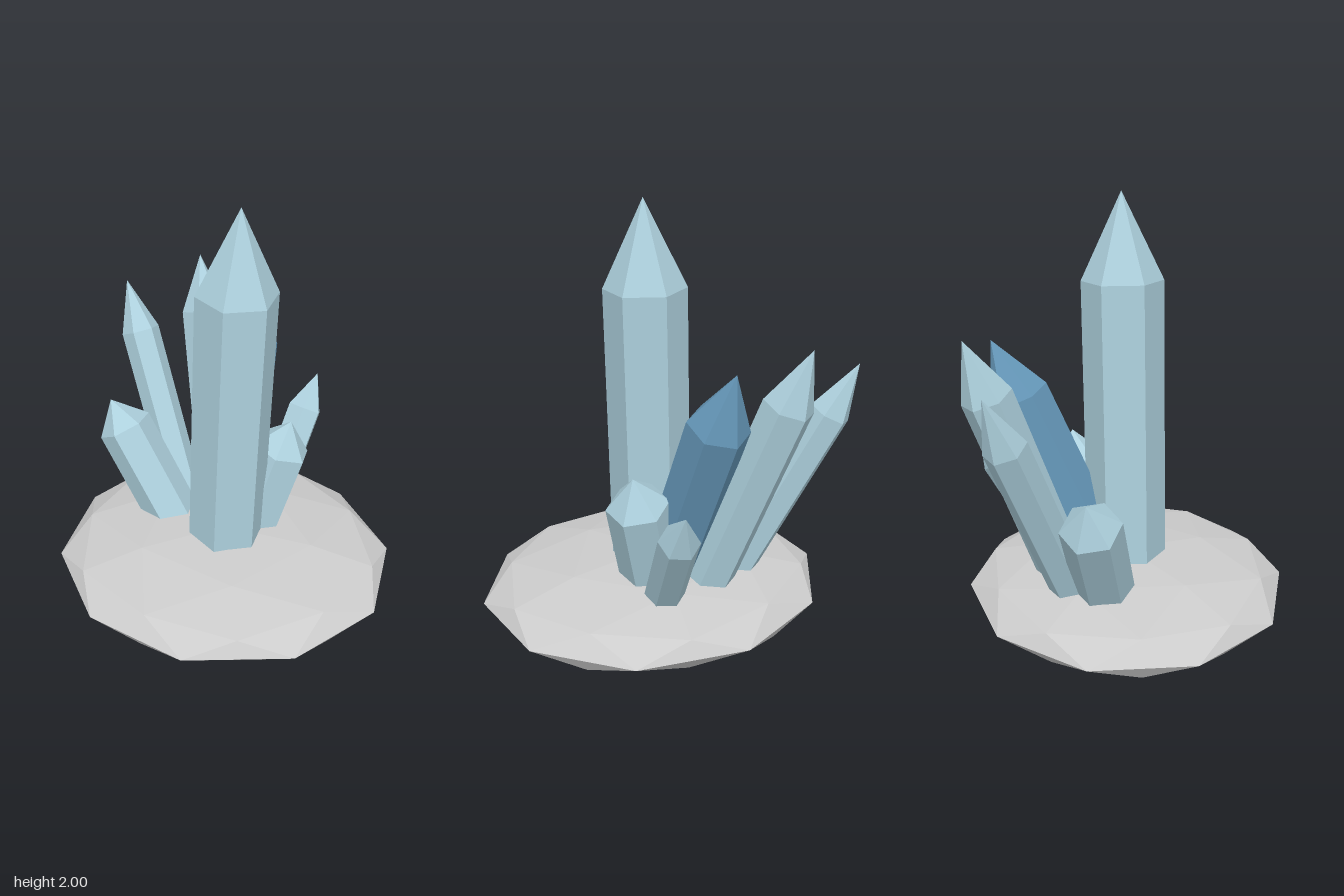
import * as THREE from 'three';

const stone = new THREE.MeshStandardMaterial({ color: 0xcccccc, flatShading: true });
const paleBlue = new THREE.MeshStandardMaterial({ color: 0xadd0dd, flatShading: true });
const deepBlue = new THREE.MeshStandardMaterial({ color: 0x6699bb, flatShading: true });

// Six-sided prism with a pointed end, running from base to tip
function crystal(name, base, tip, radius, point, material = paleBlue, spin = 0) {
  const from = new THREE.Vector3(...base);
  const axis = new THREE.Vector3(...tip).sub(from);
  const length = axis.length();
  const profile = [[0, 0], [radius, 0], [radius, length - point], [0, length]]
    .map(([x, y]) => new THREE.Vector2(x, y));
  const geometry = new THREE.LatheGeometry(profile, 6).rotateY(spin);
  const mesh = new THREE.Mesh(geometry, material);
  mesh.name = name;
  mesh.position.copy(from);
  mesh.quaternion.setFromUnitVectors(new THREE.Vector3(0, 1, 0), axis.normalize());
  return mesh;
}

export function createModel() {
  const group = new THREE.Group();
  group.name = 'crystalCluster';

  // Flattened faceted rock, turned so one corner points straight up
  const rock = new THREE.IcosahedronGeometry(1, 1);
  rock.rotateZ(-Math.atan(2 / (1 + Math.sqrt(5))));
  rock.scale(0.83, 0.163, 0.75);
  rock.translate(0, 0.164, 0);
  const base = new THREE.Mesh(rock, stone);
  base.name = 'rockBase';
  group.add(base);

  // Crystals fanning out of the rock
  group.add(
    crystal('mainCrystal', [0.002, 0.1, 0], [0.065, 2, -0.02], 0.186, 0.39, paleBlue, -0.07),
    crystal('tallRearCrystal', [-0.07, 0.1, -0.25], [-0.315, 1.44, -0.705], 0.115, 0.275),
    crystal('outerRearCrystal', [-0.225, 0.1, -0.215], [-0.675, 1.298, -0.612], 0.095, 0.26),
    crystal('wideSideCrystal', [-0.233, 0.12, -0.1], [-0.648, 0.829, -0.22], 0.135, 0.15),
    crystal('stubbySideCrystal', [0.056, 0.1, -0.12], [0.267, 0.842, -0.244], 0.145, 0.15),
    crystal('smallRearCrystal', [0.12, 0.12, -0.23], [0.31, 0.85, -0.7], 0.09, 0.19),
    crystal('blueCrystal', [0, 0.1, -0.055], [0, 1.363, -0.605], 0.14, 0.28, deepBlue),
  );
  return group;
}
